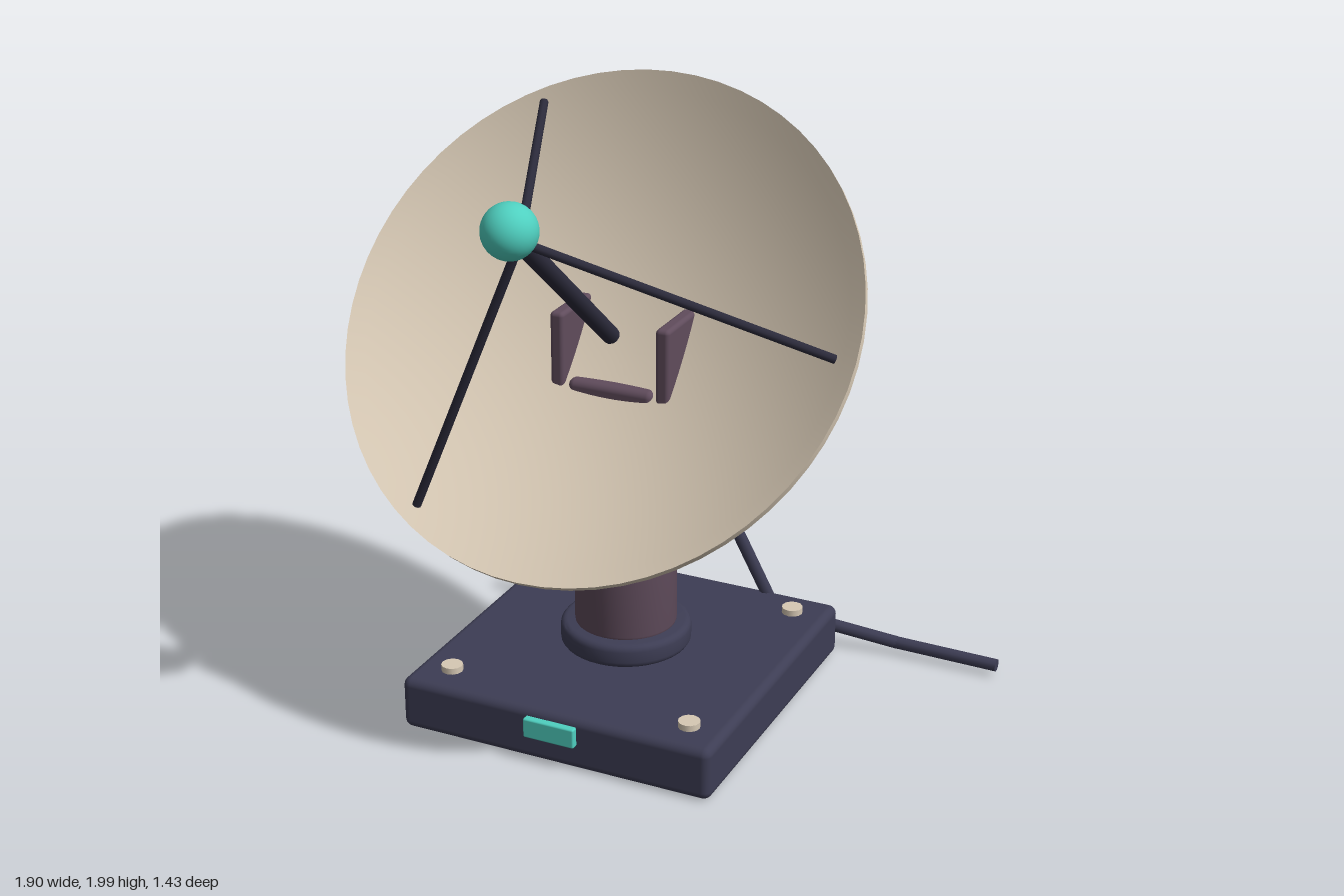
import * as THREE from 'three';
import { toCreasedNormals } from 'three/addons/utils/BufferGeometryUtils.js';
import { RoundedBoxGeometry } from 'three/addons/geometries/RoundedBoxGeometry.js';

const CX = -0.122, CZ = -0.09; // mast axis

function mat(name, color) {
  const m = new THREE.MeshStandardMaterial({ color });
  m.name = name;
  return m;
}

function add(parent, name, geometry, material, x = 0, y = 0, z = 0) {
  const mesh = new THREE.Mesh(geometry, material);
  mesh.name = name;
  mesh.position.set(x, y, z);
  parent.add(mesh);
  return mesh;
}

// Cylinder with rounded edges, standing on y = 0
function roundedCylinder(radius, height, bevel, segments = 40) {
  const pts = [new THREE.Vector2(0, 0)];
  for (const top of [0, 1]) {
    for (let i = 0; i <= 4; i++) {
      const a = (i / 4 + top - 1) * Math.PI / 2;
      pts.push(new THREE.Vector2(
        radius - bevel + bevel * Math.cos(a),
        (top ? height - bevel : bevel) + bevel * Math.sin(a)));
    }
  }
  pts.push(new THREE.Vector2(0, height));
  return toCreasedNormals(new THREE.LatheGeometry(pts, segments), 0.6);
}

// Straight rod between two points
function rod(parent, name, a, b, radius, material, sides = 10) {
  const dir = b.clone().sub(a);
  const mesh = add(parent, name, new THREE.CylinderGeometry(radius, radius, dir.length(), sides), material);
  mesh.position.copy(a).add(b).multiplyScalar(0.5);
  mesh.quaternion.setFromUnitVectors(new THREE.Vector3(0, 1, 0), dir.normalize());
  return mesh;
}

// Parabolic shell, opening along +y, rim plane at y = 0
function dishGeometry(radius, depth, thickness) {
  const pts = [], n = 16;
  for (let i = 0; i <= n; i++) {
    const k = i / n;
    pts.push(new THREE.Vector2(radius * k, -thickness - depth * (1 - k * k)));
  }
  for (let i = n; i >= 0; i--) {
    const k = i / n;
    pts.push(new THREE.Vector2(radius * k, -depth * (1 - k * k)));
  }
  return toCreasedNormals(new THREE.LatheGeometry(pts, 64), 0.6);
}

export function createModel() {
  const navy = mat('navy', 0x3d3d54);
  const dark = mat('dark strut', 0x2b2a3a);
  const plum = mat('plum', 0x604c5c);
  const cream = mat('cream', 0xd6c8b4);
  const teal = mat('teal', 0x4fd0c0);

  const model = new THREE.Group();
  model.name = 'dishAntenna';

  // Base with corner bolts and front indicator
  add(model, 'base', new RoundedBoxGeometry(1.066, 0.176, 1.066, 3, 0.028), navy, CX, 0.092, CZ);
  for (const sx of [-1, 1]) {
    for (const sz of [-1, 1]) {
      add(model, 'bolt', new THREE.CylinderGeometry(0.035, 0.035, 0.035, 12), cream,
        CX + sx * 0.414, 0.183, CZ + sz * 0.414);
    }
  }
  add(model, 'indicator', new RoundedBoxGeometry(0.175, 0.066, 0.04, 2, 0.006), teal, CX, 0.123, 0.445);

  // Mast
  add(model, 'mastCollar', roundedCylinder(0.212, 0.08, 0.022), navy, CX, 0.188, CZ);
  add(model, 'mast', roundedCylinder(0.165, 0.7, 0.022), plum, CX, 0.253, CZ);

  // Yoke block and cheek plates that pass through the dish
  add(model, 'yokeBlock', new RoundedBoxGeometry(0.29, 0.19, 0.232, 3, 0.022), plum, CX, 1.02, CZ);
  for (const s of [-1, 1]) {
    add(model, 'yokeCheek', new RoundedBoxGeometry(0.047, 0.325, 0.232, 3, 0.014), plum,
      CX + s * 0.179, 1.165, CZ);
  }

  // Tilted dish with its feed
  const head = new THREE.Group();
  head.name = 'dishHead';
  head.position.set(CX, 1.36, 0.106);
  head.rotation.x = THREE.MathUtils.degToRad(50);
  model.add(head);
  add(head, 'dish', dishGeometry(0.83, 0.255, 0.025), cream);

  const apex = new THREE.Vector3(0, 0.61, 0);
  rod(head, 'feedBoom', new THREE.Vector3(0, -0.13, 0), apex, 0.028, dark, 12);
  for (let i = 0; i < 3; i++) {
    const a = i * Math.PI * 2 / 3;
    rod(head, 'feedStrut', new THREE.Vector3(0.77 * Math.cos(a), 0.015, 0.77 * Math.sin(a)), apex, 0.014, dark);
  }
  add(head, 'feedBall', new THREE.SphereGeometry(0.083, 32, 20), teal, 0, 0.686, 0);

  // Cable running down behind the mast and off to the side
  const route = [[-0.122, 0.9, -0.45], [0.18, 0.11, -0.625], [0.6, 0.045, -0.69], [0.95, 0.04, -0.69]]
    .map((p) => new THREE.Vector3(...p));
  const cable = new THREE.Group();
  cable.name = 'cable';
  model.add(cable);
  for (let i = 0; i < 3; i++) {
    rod(cable, 'cableRun', route[i], route[i + 1], 0.021, navy);
    if (i > 0) add(cable, 'cableBend', new THREE.SphereGeometry(0.021, 12, 8), navy, ...route[i].toArray());
  }

  return model;
}
